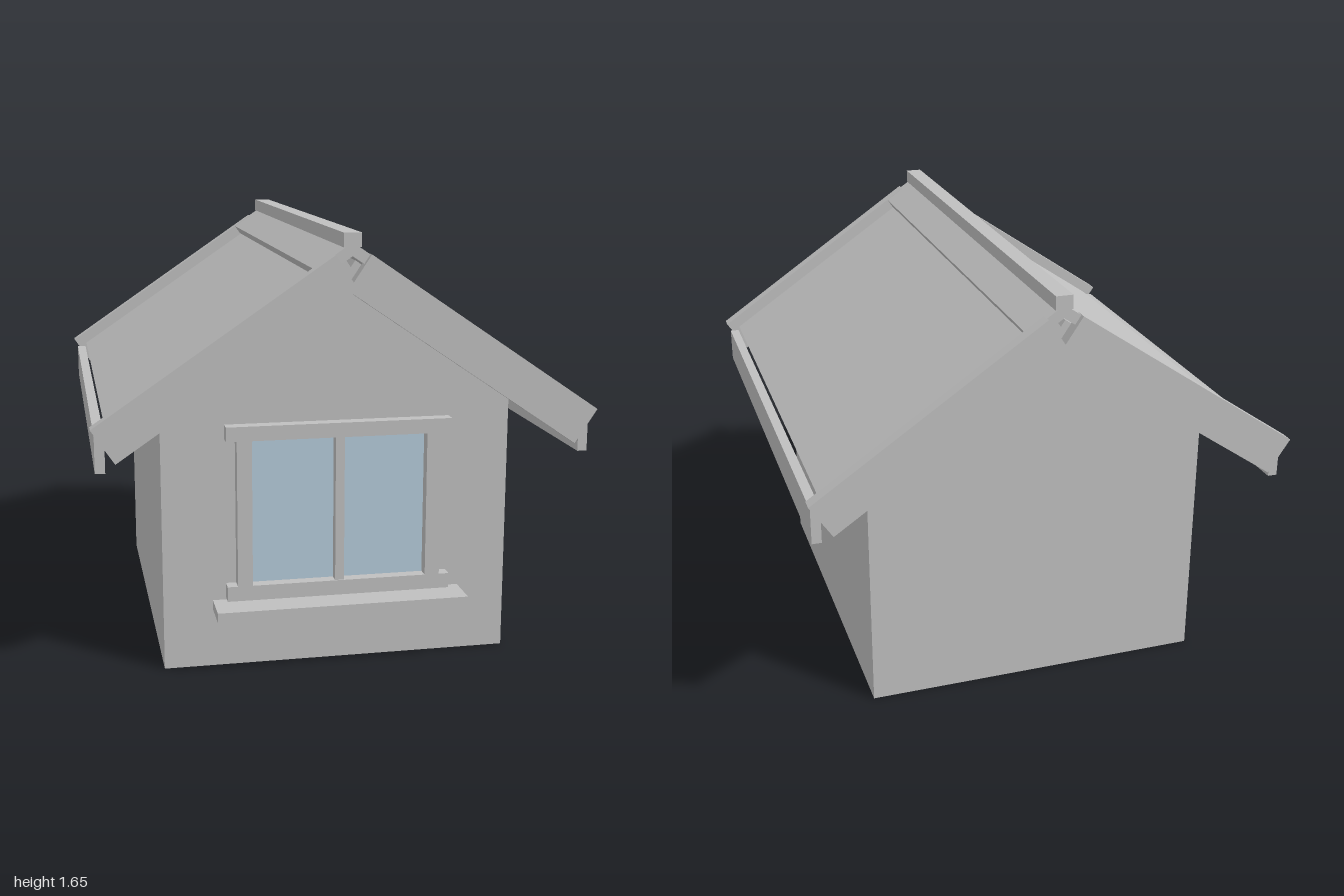
import * as THREE from 'three';

export function createModel() {
  const model = new THREE.Group();
  const grey = new THREE.MeshStandardMaterial({ color: 0xbfbfbf });
  grey.name = 'plain grey';
  const blue = new THREE.MeshStandardMaterial({ color: 0xb4cad9 });
  blue.name = 'pale glass blue';

  const add = (name, geometry, material = grey) => {
    const mesh = new THREE.Mesh(geometry, material);
    mesh.name = name;
    model.add(mesh);
    return mesh;
  };
  // Box given by its limits on each axis
  const box = (name, x0, x1, y0, y1, z0, z1, material) =>
    add(name, new THREE.BoxGeometry(x1 - x0, y1 - y0, z1 - z0), material)
      .position.set((x0 + x1) / 2, (y0 + y1) / 2, (z0 + z1) / 2);
  // Symmetric profile from its right half (top centre to bottom centre), extruded along z
  const gable = (name, half, z0, z1) => {
    const left = half.filter(([x]) => x > 0).reverse().map(([x, y]) => [-x, y]);
    const shape = new THREE.Shape([...half, ...left].map(([x, y]) => new THREE.Vector2(x, y)));
    const geometry = new THREE.ExtrudeGeometry(shape, { depth: z1 - z0, bevelEnabled: false });
    geometry.translate(0, 0, z0);
    add(name, geometry);
  };

  // House body with gable ends
  gable('walls', [[0, 1.477], [0.663, 1.03], [0.663, 0], [0, 0]], -0.76, 0.76);

  // Roof: sunken slabs, ridge boards over them and a square ridge cap
  gable('roofSlabs', [[0, 1.523], [0.016, 1.547], [0.865, 0.973], [0.827, 0.917], [0, 1.477]], -0.95, 0.95);
  gable('ridgeBoards', [[0, 1.612], [0.135, 1.521], [0.113, 1.488], [0, 1.564]], -0.98, 0.98);
  box('ridgeCap', -0.032, 0.032, 1.595, 1.646, -0.98, 0.98);

  // Barge boards with a notch at the peak, front and back
  const barge = [[0, 1.475], [0.064, 1.571], [0.92, 0.99], [0.837, 0.865], [0, 1.433]];
  gable('frontBargeBoards', barge, 0.95, 1);
  gable('backBargeBoards', barge, -1, -0.95);

  // Eave fascias
  box('leftFascia', 0.87, 0.906, 0.822, 0.957, -0.95, 0.95);
  box('rightFascia', -0.906, -0.87, 0.822, 0.957, -0.95, 0.95);

  // Window
  box('windowGlass', -0.335, 0.335, 0.32, 0.885, 0.757, 0.765, blue);
  box('windowHead', -0.427, 0.427, 0.88, 0.935, 0.75, 0.81);
  box('windowBottomRail', -0.427, 0.427, 0.268, 0.325, 0.75, 0.81);
  box('windowMullion', -0.017, 0.017, 0.325, 0.88, 0.75, 0.805);
  for (const [side, s] of [['left', 1], ['right', -1]])
    box(side + 'WindowJamb', s * 0.36 - 0.028, s * 0.36 + 0.028, 0.325, 0.88, 0.75, 0.81);
  box('windowSill', -0.477, 0.477, 0.223, 0.26, 0.75, 0.903);

  return model;
}
